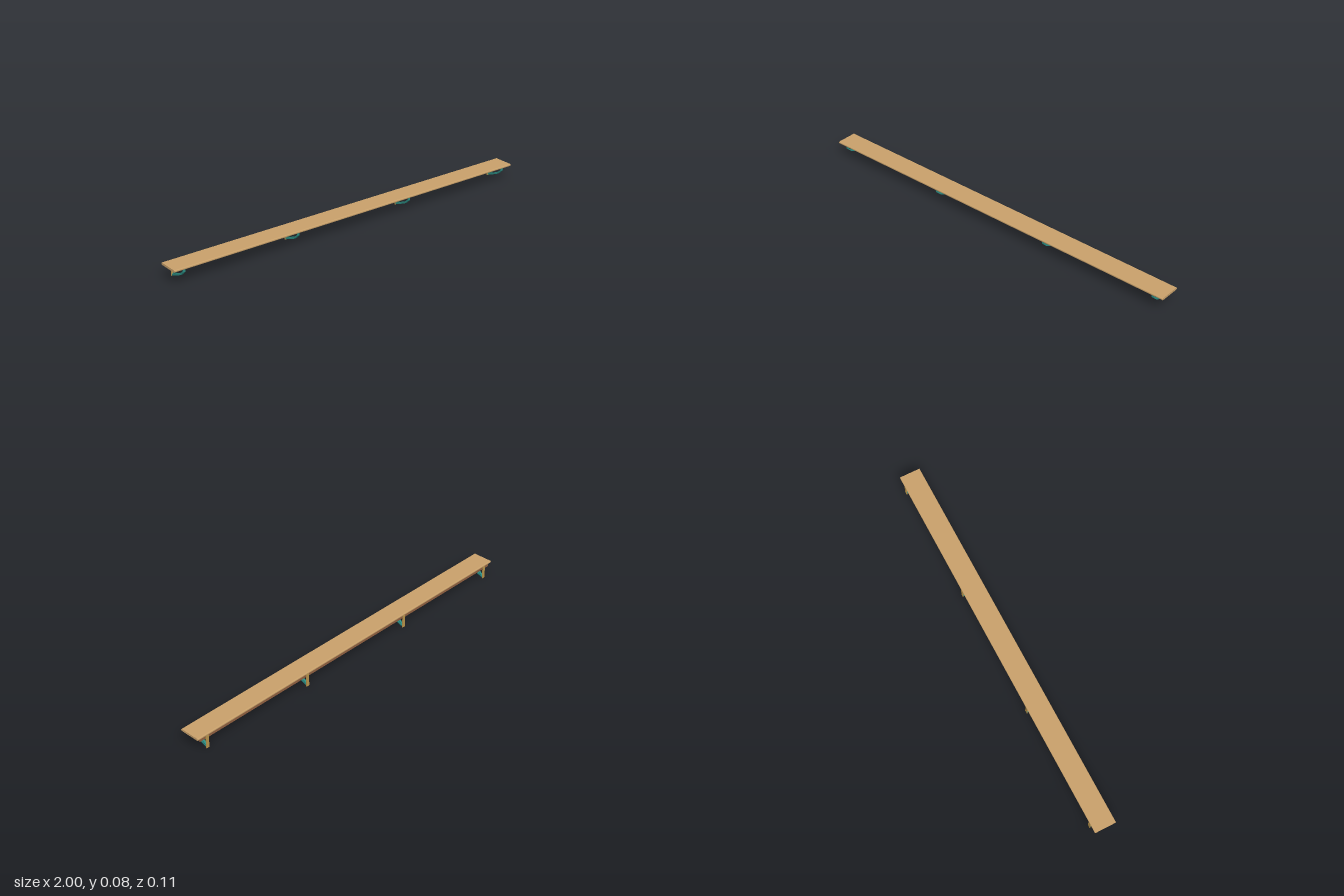
import * as THREE from 'three';

const paint = (color) => new THREE.MeshStandardMaterial({ color, flatShading: true });

// Extrude a (z, y) outline along x, centred on x = 0
function extrudeAlongX(shape, length) {
  const g = new THREE.ExtrudeGeometry(shape, { depth: length, bevelEnabled: false, curveSegments: 4 });
  g.translate(0, 0, -length / 2);
  g.rotateY(-Math.PI / 2);
  return g;
}

// Outline of a bent strip following [z, y, width] points, with mitred corners
function stripShape(points) {
  const p = points.map(([z, y]) => new THREE.Vector2(z, y));
  const left = [], right = [];
  p.forEach((point, i) => {
    const a = p[Math.max(i - 1, 0)], b = p[Math.min(i + 1, p.length - 1)];
    const d1 = (i > 0 ? point.clone().sub(a) : b.clone().sub(point)).normalize();
    const d2 = (i < p.length - 1 ? b.clone().sub(point) : d1.clone()).normalize();
    const n = new THREE.Vector2(-d1.y - d2.y, d1.x + d2.x).normalize();
    const miter = Math.max(n.dot(new THREE.Vector2(-d1.y, d1.x)), 0.6);
    n.multiplyScalar(points[i][2] / 2 / miter);
    left.push(point.clone().add(n));
    right.unshift(point.clone().sub(n));
  });
  return new THREE.Shape([...left, ...right]);
}

// Board section with rounded front and back edges
function boardShape(z0, z1, y0, y1, r) {
  const s = new THREE.Shape();
  s.moveTo(z0 + r, y0);
  s.lineTo(z1 - r, y0);
  s.absarc(z1 - r, y0 + r, r, -Math.PI / 2, 0);
  s.absarc(z1 - r, y1 - r, r, 0, Math.PI / 2);
  s.absarc(z0 + r, y1 - r, r, Math.PI / 2, Math.PI);
  s.absarc(z0 + r, y0 + r, r, Math.PI, Math.PI * 1.5);
  return s;
}

export function createModel() {
  const model = new THREE.Group();
  model.name = 'wallShelf';
  const wood = paint(0xc8a06a), darkWood = paint(0x8f5f3f);
  const plateWood = paint(0xb8934a), metal = paint(0x2b8c82);

  const add = (parent, name, geometry, material) => {
    const mesh = new THREE.Mesh(geometry, material);
    mesh.name = name;
    parent.add(mesh);
    return mesh;
  };

  // Long board and the rail under its back edge
  add(model, 'shelfBoard', extrudeAlongX(boardShape(-0.054, 0.054, 0.067, 0.078, 0.0045), 2), wood);
  const rail = add(model, 'backRail', new THREE.BoxGeometry(1.97, 0.015, 0.008), darkWood);
  rail.position.set(0, 0.0595, -0.045);

  // Bracket parts, shared by all brackets
  const plate = new THREE.BoxGeometry(0.016, 0.067, 0.004);
  const topBar = extrudeAlongX(stripShape([[0.048, 0.065, 0.004], [-0.049, 0.065, 0.004]]), 0.012);
  const brace = extrudeAlongX(stripShape([
    [0.046, 0.066, 0.005], [0.045, 0.055, 0.006], [0.034, 0.045, 0.007],
    [0.021, 0.034, 0.008], [-0.012, 0.020, 0.008], [-0.048, 0.006, 0.007],
  ]), 0.012);
  const scroll = extrudeAlongX(stripShape([
    [-0.041, 0.013, 0.006], [-0.021, 0.029, 0.005], [-0.005, 0.047, 0.004],
    [-0.016, 0.051, 0.004], [-0.024, 0.041, 0.004],
  ]), 0.010);

  for (const x of [-0.947, -0.333, 0.329, 0.945]) {
    const bracket = new THREE.Group();
    bracket.name = 'bracket';
    bracket.position.x = x;
    add(bracket, 'wallPlate', plate, plateWood).position.set(0, 0.0335, -0.051);
    add(bracket, 'topBar', topBar, metal);
    add(bracket, 'curvedBrace', brace, metal);
    add(bracket, 'scroll', scroll, metal);
    model.add(bracket);
  }
  return model;
}
